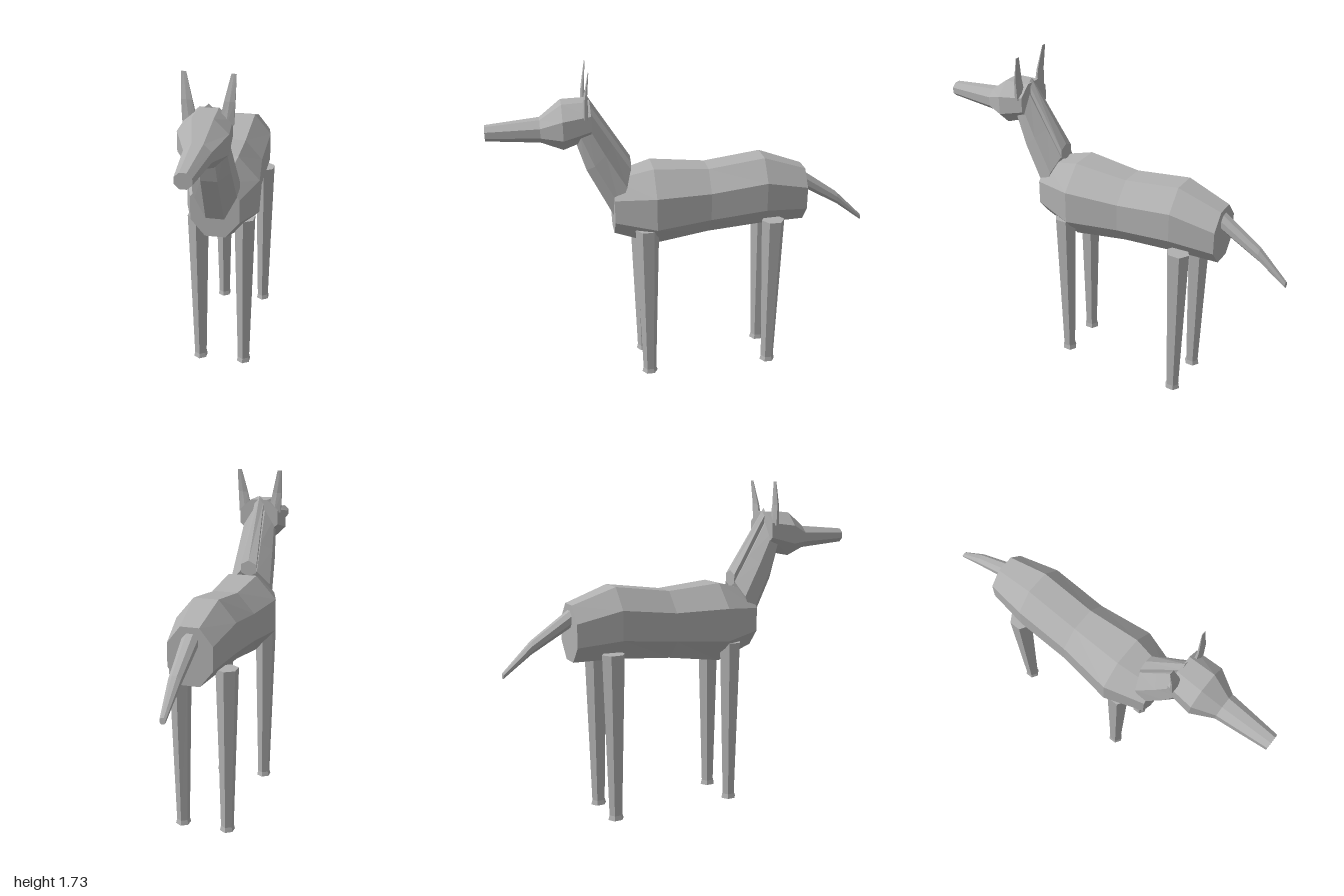
import * as THREE from 'three';

const grey = new THREE.MeshStandardMaterial({ color: 0xb0b0b0 });
grey.name = 'plain grey';

// Faceted, capped loft. Each ring is [xCentre, halfWidth, y0, z0, y1, z1]:
// a polygon whose flats touch the two points (y0,z0) and (y1,z1).
function loft(name, sides, rings) {
  const angle = i => ((i + 0.5) * 2 * Math.PI) / sides;
  const sx = 1 / Math.cos(Math.PI / sides);
  let maxSin = 0;
  for (let i = 0; i < sides; i++) maxSin = Math.max(maxSin, Math.sin(angle(i)));
  const point = ([x, w, y0, z0, y1, z1], i) => {
    const u = Math.cos(angle(i)) * sx, v = Math.sin(angle(i)) / maxSin / 2;
    return [x + u * w, (y0 + y1) / 2 + v * (y1 - y0), (z0 + z1) / 2 + v * (z1 - z0)];
  };
  const centre = ([x, , y0, z0, y1, z1]) => [x, (y0 + y1) / 2, (z0 + z1) / 2];
  const pos = [];
  const tri = (a, b, c) => pos.push(...a, ...b, ...c);
  const first = rings[0], last = rings[rings.length - 1];
  for (let i = 0; i < sides; i++) {
    for (let r = 0; r < rings.length - 1; r++) {
      const a = point(rings[r], i), b = point(rings[r], i + 1);
      const c = point(rings[r + 1], i + 1), d = point(rings[r + 1], i);
      tri(a, b, c);
      tri(a, c, d);
    }
    tri(centre(first), point(first, i + 1), point(first, i));
    tri(centre(last), point(last, i), point(last, i + 1));
  }
  const geo = new THREE.BufferGeometry();
  geo.setAttribute('position', new THREE.Float32BufferAttribute(pos, 3));
  geo.computeVertexNormals(); // unshared corners give flat facets
  const mesh = new THREE.Mesh(geo, grey);
  mesh.name = name;
  return mesh;
}

// Ring standing upright at depth z
const upright = (z, w, bottom, top) => [0, w, bottom, z, top, z];
// Ring lying level at height y
const level = (x, y, z, w, d) => [x, w, y, z + d, y, z - d];

export function createModel() {
  const model = new THREE.Group();
  model.name = 'animal';

  // Trunk, rump to chest
  model.add(loft('body', 8, [
    upright(-0.65, 0.115, 0.84, 1.13),
    upright(-0.42, 0.155, 0.84, 1.21),
    upright(-0.12, 0.155, 0.815, 1.17),
    upright(0.17, 0.19, 0.775, 1.195),
    upright(0.38, 0.125, 0.84, 1.14),
  ]));

  // Neck, leaning forward
  model.add(loft('neck', 8, [
    [0, 0.115, 0.94, 0.38, 1.19, 0.285],
    [0, 0.1, 1.2, 0.51, 1.33, 0.375],
    [0, 0.085, 1.36, 0.56, 1.5, 0.48],
  ]));

  // Mane ridge along the back of the neck
  model.add(loft('mane', 6, [
    upright(0.283, 0.045, 1.16, 1.25),
    upright(0.49, 0.025, 1.48, 1.58),
  ]));

  // Head and long muzzle
  model.add(loft('head', 8, [
    upright(0.48, 0.11, 1.37, 1.56),
    upright(0.62, 0.12, 1.32, 1.555),
    upright(0.73, 0.065, 1.358, 1.475),
    upright(1.0, 0.04, 1.378, 1.452),
  ]));

  // Tail, tip to root
  model.add(loft('tail', 8, [
    [0, 0.015, 0.785, -1.0, 0.815, -0.998],
    [0, 0.03, 0.895, -0.855, 0.96, -0.85],
    [0, 0.042, 1.03, -0.62, 1.12, -0.62],
  ]));

  for (const [side, s] of [['left', 1], ['right', -1]]) {
    // Flat upright ears
    model.add(loft(side + 'Ear', 6, [
      [s * 0.085, 0.035, 1.49, 0.522, 1.49, 0.49],
      [s * 0.1, 0.026, 1.6, 0.512, 1.6, 0.494],
      [s * 0.116, 0.012, 1.725, 0.488, 1.725, 0.484],
    ]));
    // Tapering legs with a slight flare at the foot
    for (const [end, z] of [['Front', 0.215], ['Back', -0.463]]) {
      model.add(loft(side + end + 'Leg', 6, [
        level(s * 0.121, 0, z, 0.034, 0.043),
        level(s * 0.121, 0.025, z, 0.029, 0.036),
        level(s * 0.123, 0.88, z, 0.049, 0.062),
      ]));
    }
  }
  return model;
}
